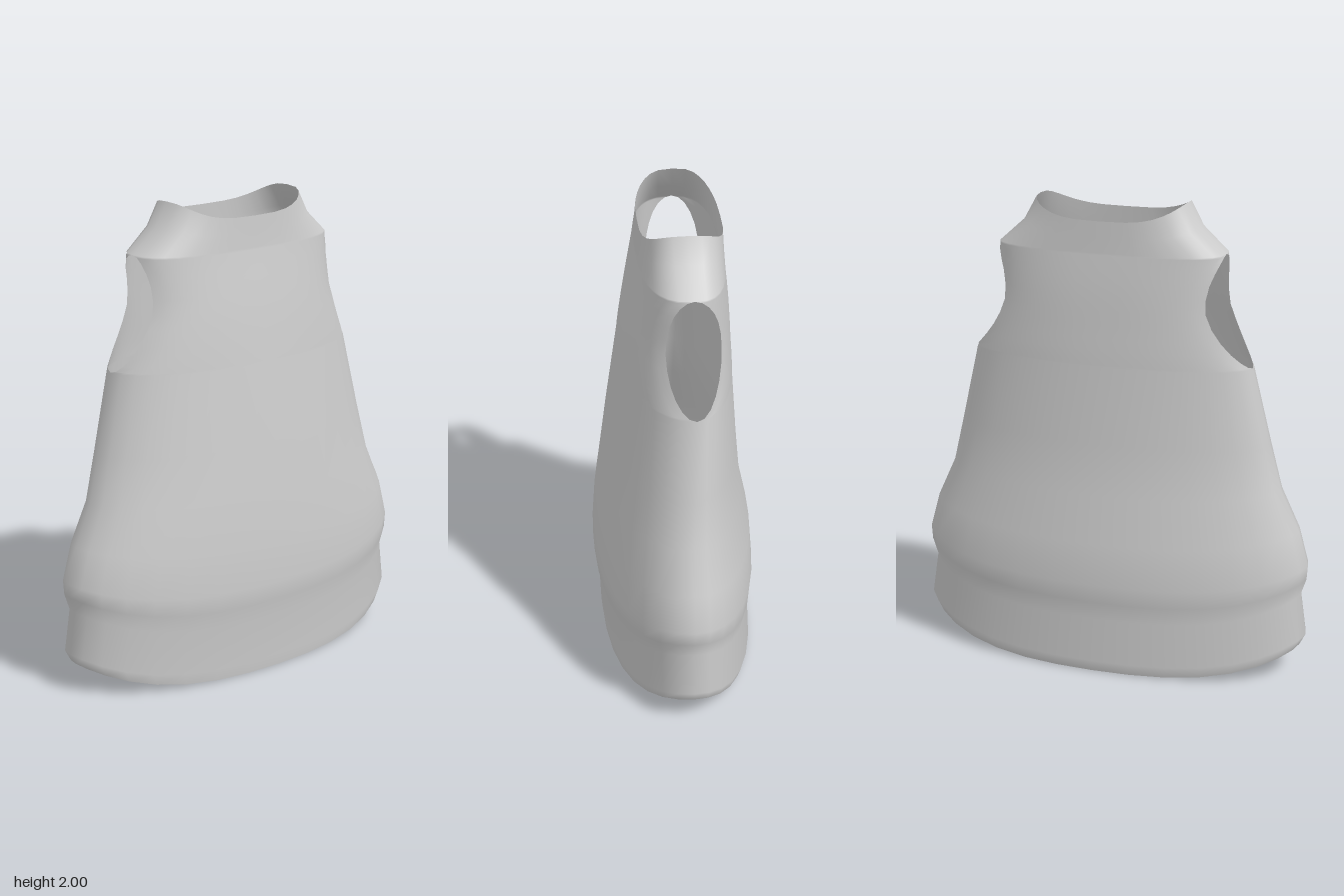
import * as THREE from 'three';
import { mergeVertices } from 'three/addons/utils/BufferGeometryUtils.js';

// Rings from hem to neck:
// [height at centre, extra height at sides, half width, front z, back z, side z, roundness exponent]
const RINGS = [
  [0.0, 0.12, 0.835, 0.31, -0.32, -0.02, 2],
  [0.05, 0.12, 0.862, 0.315, -0.334, -0.02, 2],
  [0.24, 0.11, 0.835, 0.322, -0.322, -0.02, 2],
  [0.32, 0.1, 0.858, 0.34, -0.335, -0.02, 2],
  [0.4, 0.08, 0.862, 0.345, -0.342, -0.02, 2],
  [0.58, 0.05, 0.82, 0.333, -0.328, -0.02, 2],
  [0.78, 0.02, 0.74, 0.308, -0.285, -0.025, 2],
  [1.0, 0, 0.69, 0.28, -0.266, -0.035, 2],
  [1.33, 0, 0.61, 0.231, -0.243, -0.047, 2.1],
  [1.39, 0, 0.582, 0.222, -0.24, -0.047, 2.2],
  [1.47, 0, 0.55, 0.21, -0.234, -0.047, 2.3],
  [1.565, 0, 0.513, 0.194, -0.228, -0.047, 2.45],
  [1.65, 0, 0.502, 0.178, -0.222, -0.047, 2.5],
  [1.75, 0, 0.496, 0.158, -0.211, -0.047, 2.6],
  [1.8, 0, 0.49, 0.149, -0.205, -0.047, 2.7],
  [1.86, 0.04, 0.378, 0.144, -0.203, -0.04, 2.9],
  [1.93, 0.07, 0.322, 0.139, -0.2, -0.035, 3],
];
const HOLE = { low: 1.33, high: 1.8, halfDepth: 0.113 };
const SEGMENTS = 16;

// Half depth of the arm opening at a height
function holeDepth(y) {
  const t = (2 * y - HOLE.low - HOLE.high) / (HOLE.high - HOLE.low);
  return Math.abs(t) > 0.9999 ? 0 : HOLE.halfDepth * Math.sqrt(1 - t * t);
}

// Ring interpolated at a centre height
function ringAt(y) {
  let i = 0;
  while (i < RINGS.length - 2 && y > RINGS[i + 1][0]) i++;
  const [a, b] = [RINGS[i], RINGS[i + 1]];
  const t = (y - a[0]) / (b[0] - a[0]);
  return a.map((v, k) => THREE.MathUtils.lerp(v, b[k], t));
}

// One panel of the body; side is +1 for the front and -1 for the back
function panel(rows, side, positions, indices) {
  const base = positions.length / 3;
  rows.forEach((rowY) => {
    const [y, rise, width, front, back, sideZ, n] = ringAt(rowY);
    const depth = side > 0 ? front - sideZ : sideZ - back;
    // the panel stops short of the side where the arm opening is
    const start = Math.asin(Math.pow(holeDepth(y) / depth, n / 2));
    for (let j = 0; j <= SEGMENTS; j++) {
      const angle = THREE.MathUtils.lerp(start, Math.PI - start, j / SEGMENTS);
      const c = Math.cos(angle) * side;
      const s = Math.max(0, Math.sin(angle));
      const across = Math.sign(c) * Math.pow(Math.abs(c), 2 / n);
      positions.push(
        width * across,
        y + rise * Math.pow(Math.abs(across), 3.5),
        sideZ + side * depth * Math.pow(s, 2 / n)
      );
    }
  });
  const stride = SEGMENTS + 1;
  for (let i = 0; i < rows.length - 1; i++) {
    for (let j = 0; j < SEGMENTS; j++) {
      const a = base + i * stride + j;
      const c = a + stride;
      indices.push(a, c, a + 1, a + 1, c, c + 1);
    }
  }
}

export function createModel() {
  const group = new THREE.Group();
  group.name = 'sleevelessTop';

  // Rows: the listed rings, with even angular steps round the arm opening
  const rows = RINGS.map((r) => r[0]).filter((y) => y <= HOLE.low || y >= HOLE.high);
  const middle = (HOLE.low + HOLE.high) / 2;
  for (let k = 1; k < 12; k++) {
    rows.push(middle - ((HOLE.high - HOLE.low) / 2) * Math.cos((k * Math.PI) / 12));
  }
  rows.sort((a, b) => a - b);

  // Front and back panels, welded along the side and shoulder seams
  const positions = [];
  const indices = [];
  panel(rows, 1, positions, indices);
  panel(rows, -1, positions, indices);
  let geometry = new THREE.BufferGeometry();
  geometry.setAttribute('position', new THREE.Float32BufferAttribute(positions, 3));
  geometry.setIndex(indices);
  geometry = mergeVertices(geometry, 1e-4);
  geometry.computeVertexNormals();

  const material = new THREE.MeshStandardMaterial({ color: 0xcccccc, side: THREE.DoubleSide });
  const body = new THREE.Mesh(geometry, material);
  body.name = 'garmentBody';
  group.add(body);
  return group;
}
